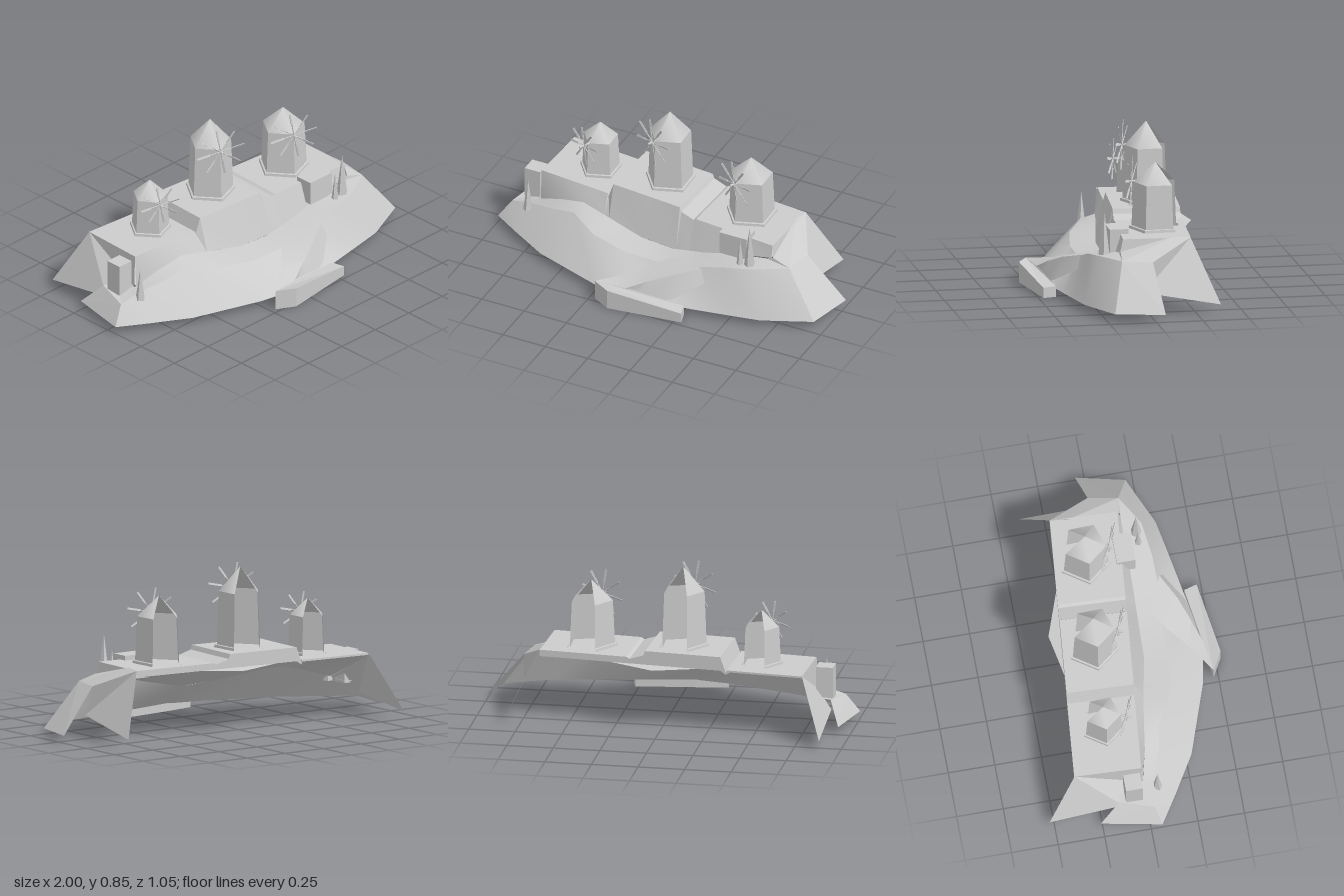
import * as THREE from 'three';
import { toCreasedNormals } from 'three/addons/utils/BufferGeometryUtils.js';

const flat = new THREE.MeshStandardMaterial({ color: 0xcccccc, flatShading: true, side: THREE.DoubleSide });
const smooth = new THREE.MeshStandardMaterial({ color: 0xcccccc, side: THREE.DoubleSide });
const RAD = Math.PI / 180;

function add(parent, name, geo, mat = flat, x = 0, y = 0, z = 0) {
  const m = new THREE.Mesh(geo, mat);
  m.name = name;
  m.position.set(x, y, z);
  parent.add(m);
  return m;
}

// Flat polygon as a triangle fan
function polygon(pts) {
  const v = [];
  for (let i = 1; i < pts.length - 1; i++) v.push(...pts[0], ...pts[i], ...pts[i + 1]);
  const g = new THREE.BufferGeometry();
  g.setAttribute('position', new THREE.Float32BufferAttribute(v, 3));
  g.computeVertexNormals();
  return g;
}

// Surface through rows of points (each row runs left to right)
function loft(rows, crease = 0.5) {
  const n = rows[0].length, idx = [];
  for (let r = 0; r < rows.length - 1; r++)
    for (let i = 0; i < n - 1; i++) {
      const a = r * n + i, b = a + n;
      idx.push(a, b + 1, a + 1, a, b, b + 1);
    }
  const g = new THREE.BufferGeometry();
  g.setAttribute('position', new THREE.Float32BufferAttribute(rows.flat(2), 3));
  g.setIndex(idx);
  return toCreasedNormals(g, crease);
}

// Five-sided mill with its rear side open
function windmill(name, x, z, base, eaves, apex, r, hub, sailR) {
  const g = new THREE.Group();
  g.name = name;
  const start = -160 * RAD, sweep = 288 * RAD;
  const ring = (rt, rb, h) => new THREE.CylinderGeometry(rt, rb, h, 4, 1, true, start, sweep);
  add(g, 'plinth', ring(r * 1.2, r * 1.22, 0.014), flat, x, base + 0.007, z);
  add(g, 'plinthTop', ring(r * 1.1, r * 1.2, 0.002), flat, x, base + 0.015, z);
  add(g, 'walls', ring(r, r * 1.1, eaves - base), flat, x, (eaves + base) / 2, z);
  add(g, 'roof', ring(0.001, r, apex - eaves), smooth, x, (eaves + apex) / 2, z);

  // Sails face along the front corner of the tower
  const sails = new THREE.Group();
  sails.name = 'sails';
  sails.position.set(...hub);
  sails.rotation.y = -25 * RAD;
  const axle = add(sails, 'axle', new THREE.CylinderGeometry(0.006, 0.006, 0.08, 6), flat, 0, 0, -0.01);
  axle.rotation.x = Math.PI / 2;
  for (let i = 0; i < 8; i++) {
    const arm = new THREE.Group();
    arm.name = 'sailArm';
    arm.rotation.z = (10 + i * 45) * RAD;
    add(arm, 'spoke', new THREE.CylinderGeometry(0.003, 0.003, sailR * 0.5, 4), flat, 0, sailR * 0.25, 0);
    const blade = add(arm, 'blade', new THREE.BoxGeometry(0.011, sailR * 0.55, 0.003), flat, 0, sailR * 0.72, 0);
    blade.rotation.y = 25 * RAD;
    sails.add(arm);
  }
  g.add(sails);
  return g;
}

export function createModel() {
  const model = new THREE.Group();
  model.name = 'windmillHill';

  // Hill stations: shore x,z | slope crest x,y,z | foot of upper wall x,y,z
  const stations = [
    [-1, 0.06, -0.93, 0.14, 0.03, -0.79, 0.17, -0.01],
    [-0.85, 0.155, -0.8, 0.172, 0.05, -0.76, 0.185, 0],
    [-0.64, 0.28, -0.65, 0.215, 0.105, -0.64, 0.235, 0.03],
    [-0.45, 0.345, -0.52, 0.243, 0.125, -0.5, 0.27, 0.05],
    [-0.26, 0.41, -0.36, 0.208, 0.215, -0.32, 0.235, 0.08],
    [-0.05, 0.45, -0.15, 0.178, 0.25, -0.12, 0.202, 0.12],
    [0.15, 0.42, 0.05, 0.175, 0.25, 0.07, 0.192, 0.125],
    [0.35, 0.385, 0.25, 0.215, 0.265, 0.25, 0.225, 0.13],
    [0.52, 0.355, 0.42, 0.26, 0.26, 0.42, 0.27, 0.13],
    [0.68, 0.325, 0.6, 0.285, 0.235, 0.62, 0.3, 0.13],
    [0.94, 0.21, 0.76, 0.285, 0.14, 0.66, 0.315, 0.13],
  ];
  const shore = stations.map(s => [s[0], 0.04, s[1]]);
  const crest = stations.map(s => s.slice(2, 5));
  const foot = stations.map(s => s.slice(5, 8));
  add(model, 'lowerSlope', loft([crest, shore], 0.6), smooth);
  add(model, 'path', loft([foot, crest], 0.6), smooth);

  // Stepped plateau, the wall below its front edge and the sheet it rests on
  const steps = [[-0.78, 0.35], [-0.64, 0.35], [-0.5, 0.35], [-0.37, 0.35], [-0.365, 0.335], [-0.335, 0.42],
    [-0.12, 0.42], [0.075, 0.42], [0.085, 0.395], [0.16, 0.37], [0.175, 0.38], [0.25, 0.38], [0.42, 0.38], [0.65, 0.38]];
  const footAt = x => {
    let i = 0;
    while (i < foot.length - 2 && foot[i + 1][0] < x) i++;
    const t = (x - foot[i][0]) / (foot[i + 1][0] - foot[i][0]);
    return foot[i].map((v, k) => v + (foot[i + 1][k] - v) * t);
  };
  const edge = steps.map(([x, y]) => [x, y, -0.015 + 0.091 * (x + 0.78)]);
  const rear = steps.map(([x, y]) => [x + 0.015, y, -0.37 + 0.088 * (x + 0.76)]);
  const lip = rear.map(([x, y, z]) => [x, Math.min(y - 0.01, 0.345), z]);
  const wallFoot = steps.map(s => footAt(s[0]));
  add(model, 'upperWall', loft([edge, wallFoot], 0.4), smooth);
  add(model, 'plateau', loft([rear, edge], 0.1), smooth);
  add(model, 'rearLip', loft([lip, rear], 0.1), smooth);
  add(model, 'groundSheet', loft([lip, wallFoot], 0.6), smooth);
  add(model, 'rearLedge', polygon([[-0.2, 0.345, -0.32], [0.04, 0.335, -0.365], [0.28, 0.345, -0.28]]));

  // Right end of the hill
  add(model, 'plateauEnd', polygon([[0.65, 0.38, -0.155], [0.65, 0.38, 0.115], [0.66, 0.315, 0.13]]));
  add(model, 'rightMound', polygon([[0.65, 0.385, -0.155], [0.66, 0.315, 0.13],
    [0.76, 0.285, 0.14], [0.79, 0.28, -0.02]]));
  add(model, 'rightEndSlope', polygon([[0.76, 0.285, 0.14], [0.94, 0.04, 0.21], [1, 0.04, -0.05], [0.79, 0.28, -0.02]]));
  add(model, 'rightRearWing', polygon([[0.665, 0.38, -0.245], [0.65, 0.385, -0.155], [0.79, 0.28, -0.02],
    [0.8, 0.12, 0.03], [0.82, 0.045, -0.38]]));

  // Left end of the hill
  add(model, 'leftRearWing', polygon([[-0.765, 0.35, -0.37], [-0.885, 0.045, -0.525], [-0.88, 0.1, -0.13],
    [-0.79, 0.17, -0.01], [-0.78, 0.35, -0.015]]));
  add(model, 'leftSpur', polygon([[-0.93, 0.14, 0.03], [-0.88, 0.16, -0.15], [-0.94, 0.045, -0.26], [-1, 0.04, 0.06]]));
  add(model, 'leftTerrace', polygon([[-0.93, 0.14, 0.03], [-0.79, 0.17, -0.01], [-0.79, 0.165, -0.13], [-0.88, 0.16, -0.15]]));

  // Ramp curling down from the path to the quay
  const rampInner = [[0.14, 0.205, 0.19], [0.04, 0.18, 0.26], [-0.07, 0.14, 0.365], [-0.22, 0.11, 0.475]];
  const rampOuter = [[0.31, 0.23, 0.28], [0.18, 0.195, 0.355], [0.06, 0.15, 0.405], [-0.05, 0.1, 0.45]];
  const rampSide = [[0.34, 0.16, 0.3], [0.21, 0.08, 0.4], [0.09, 0.04, 0.435], [-0.05, 0.04, 0.45]];
  add(model, 'ramp', loft([rampInner, rampOuter, rampSide], 0.9), smooth);

  // Quay with a top that falls toward the right
  const plan = [[-0.22, 0.475], [-0.12, 0.53], [0.29, 0.475], [0.27, 0.405], [-0.05, 0.445]];
  const shape = new THREE.Shape(plan.map(([x, z]) => new THREE.Vector2(x, -z)));
  const quay = new THREE.ExtrudeGeometry(shape, { depth: 1, bevelEnabled: false }).rotateX(-Math.PI / 2);
  const p = quay.attributes.position;
  for (let i = 0; i < p.count; i++) {
    const t = Math.max(0, (p.getX(i) + 0.12) / 0.41);
    p.setY(i, p.getY(i) * (0.11 - 0.055 * t));
  }
  quay.computeVertexNormals();
  add(model, 'quay', quay);

  // Small block houses
  add(model, 'leftHouse', new THREE.BoxGeometry(0.09, 0.175, 0.09), flat, -0.84, 0.238, -0.07);
  add(model, 'rightHouse', new THREE.BoxGeometry(0.16, 0.13, 0.1), flat, 0.437, 0.34, 0.11);

  // Slender trees: x, z, foot, tip, radius
  for (const [x, z, y0, y1, r] of [[-0.82, 0.065, 0.14, 0.325, 0.026], [0.5, 0.2, 0.27, 0.425, 0.02], [0.555, 0.197, 0.28, 0.515, 0.03]])
    add(model, 'tree', new THREE.ConeGeometry(r, y1 - y0, 5), flat, x, (y0 + y1) / 2, z);

  model.add(
    windmill('leftWindmill', -0.512, -0.172, 0.35, 0.555, 0.645, 0.095, [-0.55, 0.553, -0.055], 0.11),
    windmill('middleWindmill', -0.088, -0.147, 0.42, 0.72, 0.853, 0.114, [-0.13, 0.72, -0.025], 0.135),
    windmill('rightWindmill', 0.414, -0.103, 0.38, 0.63, 0.74, 0.116, [0.375, 0.632, 0.018], 0.132),
  );
  return model;
}
